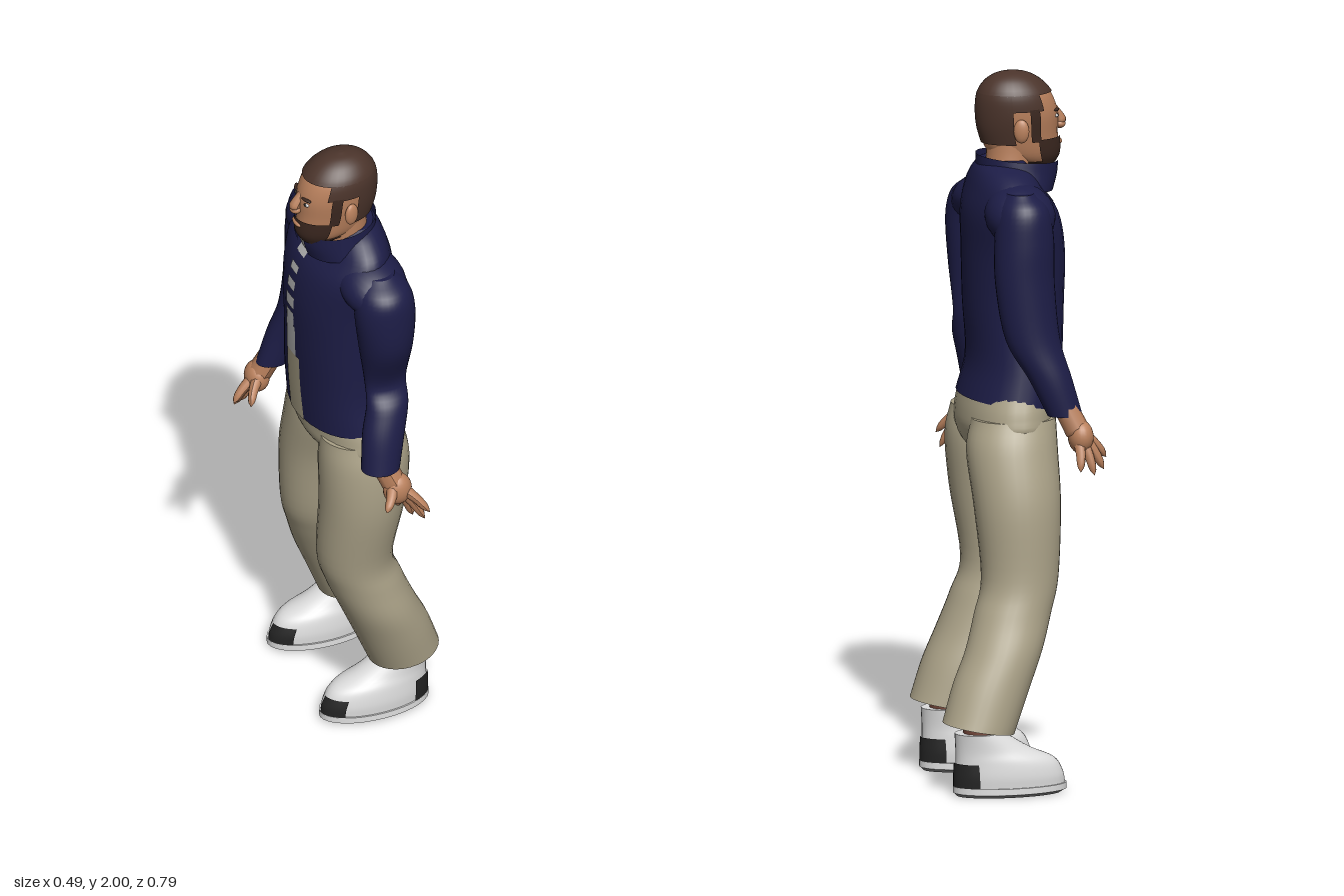
import * as THREE from 'three';

const mat = (name, color, double) => {
  const m = new THREE.MeshStandardMaterial({ color });
  m.name = name;
  if (double) m.side = THREE.DoubleSide;
  return m;
};

// Horizontal rings [y, cx, cz, rx, rz, tilt], smoothly interpolated.
// from/to are section indices; mid/half give the arc (angle 0 = +x, PI = -x).
function loft(rings, { from = 0, to = rings.length - 1, grow = 0, mid = 0, half = Math.PI, steps = 5, cols = 32 } = {}) {
  const centres = new THREE.CatmullRomCurve3(rings.map(r => new THREE.Vector3(r[1], r[0], r[2])), false, 'catmullrom');
  const radii = new THREE.CatmullRomCurve3(rings.map(r => new THREE.Vector3(r[3], r[4], r[5] || 0)), false, 'catmullrom');
  const full = half === Math.PI, rows = Math.max(2, Math.ceil((to - from) * steps)), last = rings.length - 1;
  const list = [];
  for (let i = 0; i <= rows; i++) {
    const t = (from + (to - from) * i / rows) / last;
    list.push({ c: centres.getPoint(t), r: radii.getPoint(t), k: 1 });
  }
  if (full) { // flat end caps with a crisp rim
    const a = list[0], b = list[list.length - 1];
    list.unshift({ ...a, k: 0 }, { ...a });
    list.push({ ...b }, { ...b, k: 0 });
  }
  const pos = [], idx = [], n = full ? cols : cols + 1;
  for (const { c, r, k } of list) for (let j = 0; j < n; j++) {
    const a = mid - half + 2 * half * j / cols;
    const dx = k * (r.x + grow) * Math.cos(a), dz = k * (r.y + grow) * Math.sin(a);
    pos.push(c.x + dx, c.y + r.z * dx, c.z + dz);
  }
  for (let i = 0; i < list.length - 1; i++) for (let j = 0; j < cols; j++) {
    const a = i * n + j, b = i * n + (j + 1) % n;
    idx.push(a, a + n, b, b, a + n, b + n);
  }
  const g = new THREE.BufferGeometry();
  g.setAttribute('position', new THREE.Float32BufferAttribute(pos, 3));
  g.setIndex(idx);
  g.computeVertexNormals();
  return g;
}

// Tapered tube through points with a rounded tip
function taper(points, r0, r1) {
  const curve = new THREE.CatmullRomCurve3(points.map(p => new THREE.Vector3(...p)));
  const g = new THREE.TubeGeometry(curve, 10, 1, 8), p = g.attributes.position, v = new THREE.Vector3();
  for (let i = 0; i < p.count; i++) {
    const t = Math.floor(i / 9) / 10, c = curve.getPointAt(t);
    const r = (r0 + (r1 - r0) * t) * (t > 0.99 ? 0.05 : t > 0.89 ? 0.8 : 1);
    v.fromBufferAttribute(p, i).sub(c).multiplyScalar(r).add(c);
    p.setXYZ(i, v.x, v.y, v.z);
  }
  g.computeVertexNormals();
  return g;
}

export function createModel() {
  const M = {
    jacket: mat('navy jacket', 0x1d1d47, true), trousers: mat('khaki trousers', 0xaba288, true),
    skin: mat('skin', 0xba815d), hair: mat('hair', 0x4b342b), beard: mat('beard', 0x3c2820),
    shirt: mat('grey shirt', 0xb4b4b4, true), shoe: mat('white shoe', 0xdcdcdc),
    black: mat('black trim', 0x242424), sole: mat('grey sole', 0x8a8a8a), sock: mat('sock', 0x75473a),
  };
  const model = new THREE.Group();
  const add = (name, geo, m, parent = model) => {
    const mesh = new THREE.Mesh(geo, m);
    mesh.name = name;
    parent.add(mesh);
    return mesh;
  };
  const ball = (name, m, p, s, parent = model) => {
    const b = add(name, new THREE.SphereGeometry(1, 24, 16), m, parent);
    b.position.set(...p);
    b.scale.set(...s);
    return b;
  };

  // Jacket body
  const torso = [
    [1.08, -0.022, 0, 0.14, 0.215, 0.08], [1.2, -0.04, 0, 0.132, 0.2], [1.35, -0.042, 0.015, 0.14, 0.192],
    [1.5, -0.043, 0.02, 0.143, 0.2], [1.61, -0.033, 0.02, 0.132, 0.22], [1.68, -0.018, 0.022, 0.1, 0.205],
    [1.725, -0.015, 0.03, 0.08, 0.15], [1.75, -0.015, 0.045, 0.06, 0.09],
  ];
  add('jacketBody', loft(torso), M.jacket);
  // Open front: trousers below, shirt showing in gaps above
  add('frontOpening', loft(torso, { from: 0, to: 1.6, grow: 0.002, mid: Math.PI - 0.05, half: 0.2, cols: 8 }), M.trousers);
  [[1.6, 2.3, 0.15], [2.3, 2.6, 0.12], [2.7, 2.98, 0.13], [3.15, 3.42, 0.11], [3.65, 3.9, 0.1], [4.25, 4.6, 0.11]].forEach(([from, to, half]) =>
    add('shirtGap', loft(torso, { from, to, grow: 0.002, mid: Math.PI, half, cols: 8 }), M.shirt));

  // Neck, shirt front and stand-up collar
  add('neck', loft([[1.66, -0.03, 0.055, 0.07, 0.075], [1.74, -0.045, 0.07, 0.066, 0.066], [1.83, -0.05, 0.075, 0.068, 0.066]]), M.skin);
  const collar = [[1.68, -0.055, 0.04, 0.105, 0.13, 0.15], [1.72, -0.06, 0.045, 0.114, 0.12, 0.12], [1.757, -0.062, 0.047, 0.117, 0.115, 0.1]];
  add('collar', loft(collar, { half: 2.85 }), M.jacket);
  add('shirtFront', loft(collar, { to: 1.2, grow: -0.008, mid: Math.PI, half: 0.7 }), M.shirt);

  // Shoulders blend the sleeves into the body
  ball('leftShoulder', M.jacket, [-0.012, 1.61, 0.195], [0.098, 0.072, 0.125]).rotation.x = 0.32;
  ball('rightShoulder', M.jacket, [-0.022, 1.625, -0.14], [0.1, 0.085, 0.115]).rotation.x = -0.32;

  // Sleeves
  add('leftSleeve', loft([
    [1.035, -0.03, 0.3, 0.056, 0.05], [1.14, -0.012, 0.28, 0.062, 0.05], [1.22, 0.008, 0.26, 0.062, 0.044],
    [1.29, 0.012, 0.236, 0.062, 0.034], [1.43, 0.005, 0.255, 0.078, 0.074], [1.55, 0, 0.26, 0.088, 0.08],
    [1.62, -0.002, 0.245, 0.078, 0.082], [1.66, -0.002, 0.22, 0.045, 0.05]]), M.jacket);
  add('rightSleeve', loft([
    [1.065, -0.125, -0.248, 0.05, 0.038], [1.17, -0.085, -0.237, 0.062, 0.047], [1.28, -0.04, -0.215, 0.078, 0.058],
    [1.44, -0.02, -0.203, 0.085, 0.067], [1.56, -0.02, -0.195, 0.085, 0.075], [1.65, -0.02, -0.182, 0.072, 0.078],
    [1.695, -0.015, -0.16, 0.04, 0.055]]), M.jacket);

  // Hands: wrist, palm, fingers (thumb last)
  const hand = (name, wrist, palm, size, tips) => {
    const g = new THREE.Group();
    g.name = name;
    model.add(g);
    add('wrist', taper([wrist, palm], 0.034, 0.036), M.skin, g);
    ball('palm', M.skin, palm, size, g);
    tips.forEach((tip, i) => {
      const thumb = i === tips.length - 1;
      const bend = palm.map((v, k) => v + (tip[k] - v) * 0.6 + (k === 1 ? 0.012 : 0));
      add(thumb ? 'thumb' : 'finger', taper([wrist.map((v, k) => v * 0.25 + palm[k] * 0.75), bend, tip], 0.02, 0.01), M.skin, g);
    });
  };
  hand('leftHand', [-0.03, 1.06, 0.298], [0.008, 0.97, 0.332], [0.042, 0.05, 0.034],
    [[0.085, 0.9, 0.385], [0.08, 0.862, 0.36], [0.058, 0.858, 0.325], [0.03, 0.87, 0.285], [-0.05, 0.94, 0.392]]);
  hand('rightHand', [-0.125, 1.09, -0.25], [-0.165, 1.005, -0.27], [0.036, 0.048, 0.042],
    [[-0.243, 0.94, -0.255], [-0.228, 0.912, -0.285], [-0.195, 0.9, -0.31], [-0.15, 0.915, -0.328], [-0.215, 0.96, -0.195]]);

  // Trousers
  add('hips', loft([[0.9, 0, -0.012, 0.03, 0.02], [0.95, 0, -0.006, 0.1, 0.11], [1.0, -0.008, 0, 0.128, 0.225],
    [1.05, -0.012, 0, 0.132, 0.228], [1.11, -0.02, 0, 0.13, 0.208]]), M.trousers);
  add('leftLeg', loft([
    [0.19, 0.142, 0.058, 0.102, 0.102, 0.18], [0.3, 0.098, 0.07, 0.108, 0.112, 0.1], [0.4, 0.052, 0.082, 0.11, 0.116],
    [0.5, 0.01, 0.085, 0.11, 0.112], [0.6, -0.02, 0.09, 0.108, 0.11], [0.8, -0.008, 0.115, 0.122, 0.125],
    [0.95, -0.004, 0.118, 0.13, 0.126], [1.04, -0.01, 0.115, 0.12, 0.108]]), M.trousers);
  add('rightLeg', loft([
    [0.19, 0.142, -0.302, 0.102, 0.098, 0.18], [0.3, 0.1, -0.28, 0.108, 0.098, 0.1], [0.4, 0.056, -0.256, 0.11, 0.098],
    [0.5, 0.022, -0.225, 0.11, 0.098], [0.6, -0.005, -0.202, 0.11, 0.102], [0.8, -0.004, -0.178, 0.124, 0.116],
    [0.95, 0, -0.135, 0.13, 0.124], [1.04, -0.01, -0.115, 0.12, 0.108]]), M.trousers);

  // Shoes, with black patches at the heel and on the toe
  const shoe = (name, z) => {
    const g = new THREE.Group();
    g.name = name;
    g.position.z = z;
    model.add(g);
    const upper = [[0.026, 0.055, 0, 0.16, 0.074], [0.06, 0.058, 0, 0.157, 0.075], [0.1, 0.07, 0, 0.143, 0.07],
      [0.132, 0.105, 0, 0.108, 0.061], [0.18, 0.145, 0, 0.07, 0.056]];
    add('sole', loft([[0, 0.058, 0, 0.15, 0.066], [0.01, 0.055, 0, 0.163, 0.078]]), M.sole, g);
    add('midsole', loft([[0.01, 0.055, 0, 0.165, 0.08], [0.028, 0.055, 0, 0.165, 0.079]]), M.shoe, g);
    add('upper', loft(upper), M.shoe, g);
    add('heelPatch', loft(upper, { from: 0.05, to: 1.9, grow: 0.004, half: 0.9, cols: 14 }), M.black, g);
    add('toePatch', loft(upper, { from: 0.05, to: 1.5, grow: 0.004, mid: Math.PI - 0.42, half: 0.4, cols: 10 }), M.black, g);
    add('sock', loft([[0.15, 0.14, 0, 0.05, 0.046], [0.24, 0.14, 0, 0.05, 0.046]]), M.sock, g);
  };
  shoe('leftShoe', 0.053);
  shoe('rightShoe', -0.32);

  // Head, hair and beard share one set of rings
  const head = [
    [1.725, -0.12, 0.075, 0.05, 0.04], [1.76, -0.09, 0.075, 0.098, 0.064], [1.82, -0.075, 0.075, 0.112, 0.077],
    [1.88, -0.07, 0.075, 0.116, 0.085], [1.935, -0.062, 0.075, 0.103, 0.082], [1.97, -0.057, 0.075, 0.076, 0.06],
    [1.99, -0.055, 0.075, 0.042, 0.032], [1.998, -0.055, 0.075, 0.002, 0.002],
  ];
  add('head', loft(head, { to: 4.6 }), M.skin);
  add('hairTop', loft(head, { from: 4.05, grow: 0.005 }), M.hair);
  add('hairBack', loft(head, { from: 1.6, to: 4.1, grow: 0.005, half: 1.3 }), M.hair);
  add('hairSides', loft(head, { from: 3.2, to: 4.1, grow: 0.005, half: 2.1 }), M.hair);
  add('beard', loft(head, { from: 0, to: 1.8, grow: 0.006, mid: Math.PI, half: 1.25 }), M.beard);
  add('chin', loft(head, { from: 0, to: 0.5, grow: 0.005 }), M.beard);
  add('nose', taper([[-0.175, 1.885, 0.075], [-0.196, 1.85, 0.075], [-0.2, 1.836, 0.075]], 0.012, 0.018), M.skin);
  ball('noseTip', M.skin, [-0.194, 1.837, 0.075], [0.017, 0.013, 0.018]);
  ball('lips', M.skin, [-0.19, 1.789, 0.075], [0.01, 0.008, 0.025]);
  for (const s of [-1, 1]) {
    const z = d => 0.075 + s * d;
    add('sideburn', loft(head, { from: 1.7, to: 3.3, grow: 0.005, mid: Math.PI - s * 1.3, half: 0.13, cols: 6 }), M.beard);
    ball('ear', M.skin, [-0.06, 1.838, z(0.088)], [0.022, 0.034, 0.012]).rotation.y = s * 0.3;
    ball('eye', M.shoe, [-0.175, 1.868, z(0.034)], [0.006, 0.005, 0.011]);
    ball('pupil', M.black, [-0.179, 1.868, z(0.034)], [0.004, 0.005, 0.006]);
    ball('eyebrow', M.beard, [-0.176, 1.885, z(0.035)], [0.007, 0.004, 0.018]).rotation.y = s * 0.4;
  }
  return model;
}
